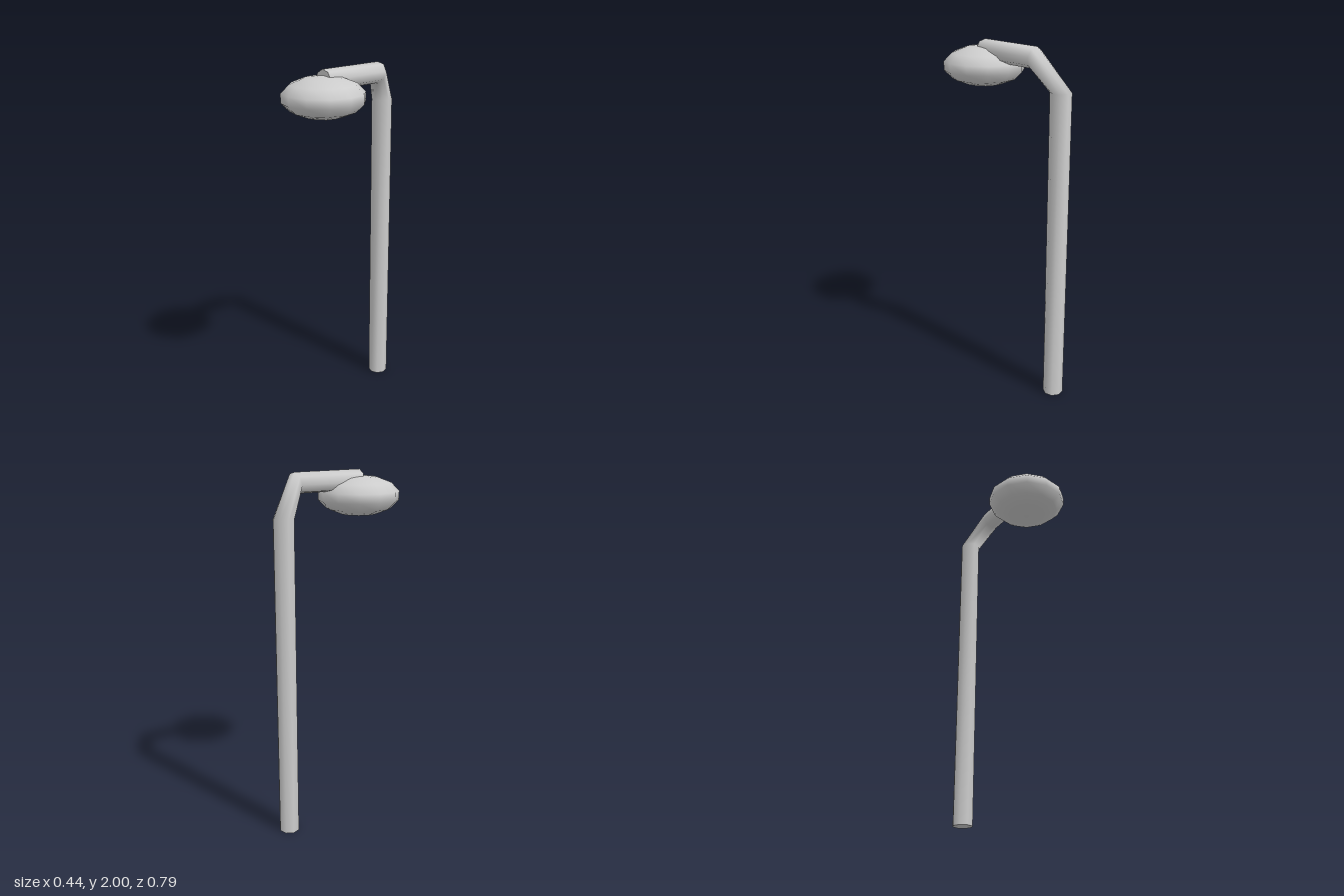
import * as THREE from 'three';

const SIDES = 8, RADIUS = 0.0575;

// Tube lofted through rings; each ring has a centre c and two axes u, v.
function loftTube(rings) {
  const pos = [], idx = [];
  const offset = Math.PI / 2 + THREE.MathUtils.degToRad(8);
  const addRing = ({ c, u, v }) => {
    for (let k = 0; k < SIDES; k++) {
      const a = offset + (k / SIDES) * Math.PI * 2;
      const cu = Math.cos(a) * RADIUS, sv = Math.sin(a) * RADIUS;
      pos.push(...c.map((n, i) => n + u[i] * cu + v[i] * sv));
    }
  };
  rings.forEach(addRing);
  for (let r = 0; r < rings.length - 1; r++) {
    for (let k = 0; k < SIDES; k++) {
      const a = r * SIDES + k, b = r * SIDES + (k + 1) % SIDES;
      idx.push(a, b, b + SIDES, a, b + SIDES, a + SIDES);
    }
  }
  // End caps use their own vertices so their rims stay sharp
  [[rings[0], true], [rings[rings.length - 1], false]].forEach(([ring, flip]) => {
    const s = pos.length / 3;
    addRing(ring);
    for (let k = 1; k < SIDES - 1; k++) {
      if (flip) idx.push(s, s + k + 1, s + k);
      else idx.push(s, s + k, s + k + 1);
    }
  });
  const geo = new THREE.BufferGeometry();
  geo.setAttribute('position', new THREE.Float32BufferAttribute(pos, 3));
  geo.setIndex(idx);
  geo.computeVertexNormals();
  return geo;
}

export function createModel() {
  const group = new THREE.Group();
  group.name = 'streetLamp';
  const grey = new THREE.MeshStandardMaterial({ color: 0xcccccc });
  grey.name = 'lightGrey';

  // Upright post, slanted elbow and forward arm in one bent tube
  const across = [0.8, 0, -0.6], back = [-0.6, 0, -0.8];
  const pole = new THREE.Mesh(loftTube([
    { c: [-0.115, 0, -0.34], u: across, v: back },
    { c: [-0.115, 1.775, -0.34], u: across, v: back },
    { c: [-0.03, 1.945, -0.227], u: [0.975, 0, -0.217], v: [-0.04, 0.98, -0.18] },
    { c: [0, 1.944, 0.173], u: [0.997, 0, -0.06], v: [0, 1, 0] },
  ]), grey);
  pole.name = 'bentPole';
  group.add(pole);

  // Flattened lamp head under the end of the arm
  const head = new THREE.Mesh(new THREE.SphereGeometry(0.228, 12, 7), grey);
  head.name = 'lampHead';
  head.scale.y = 0.11 / 0.228;
  head.position.set(0, 1.86, 0.174);
  group.add(head);

  return group;
}
